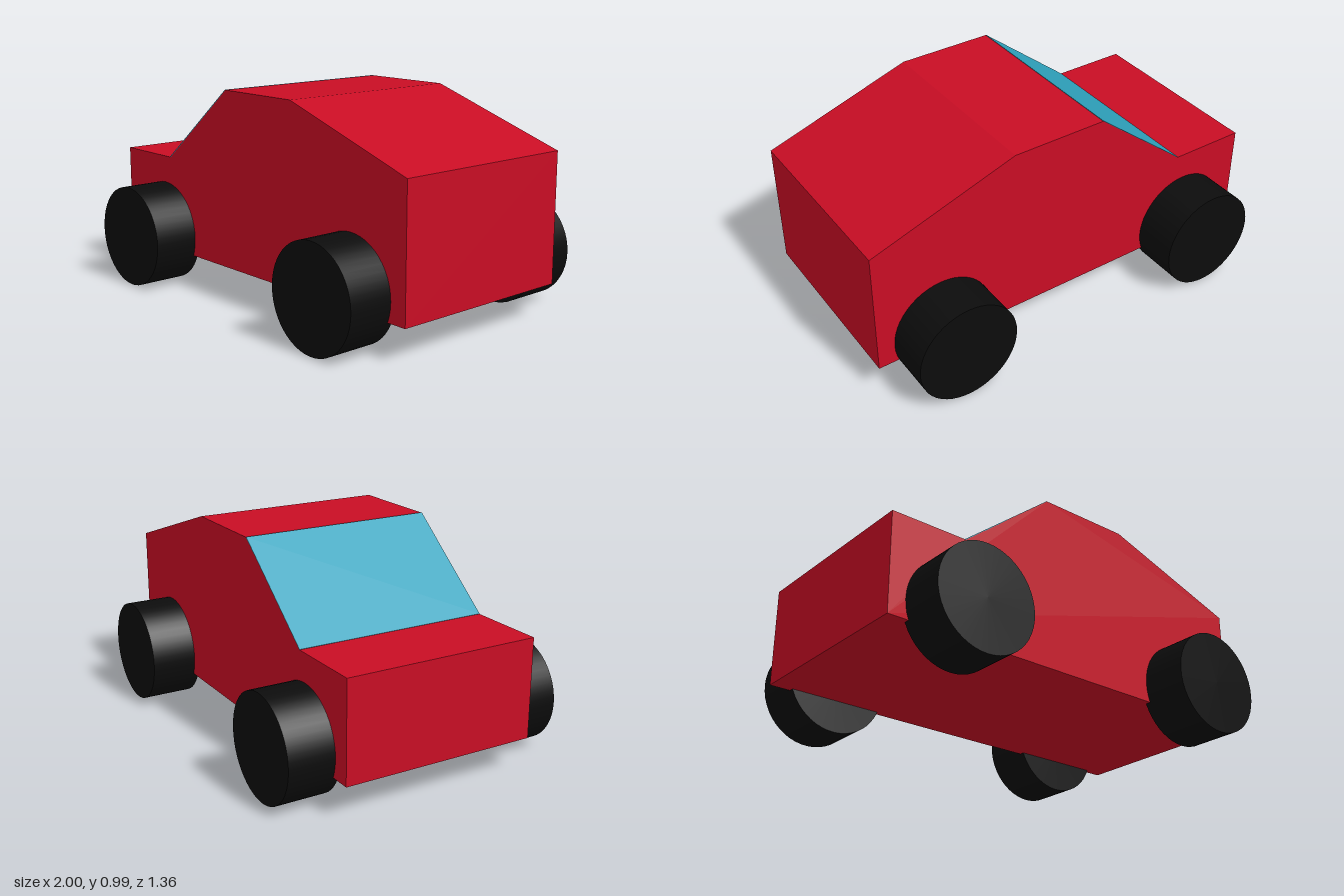
import * as THREE from 'three';

const material = (color) => new THREE.MeshStandardMaterial({ color });

export function createModel() {
  const car = new THREE.Group();
  car.name = 'car';
  const red = material(0xc80d24);
  const glass = material(0x2fa3bd);
  const black = material(0x0c0c0c);

  // Body: side profile extruded across the width
  const width = 0.93;
  const hood = new THREE.Vector2(-0.63, 0.617);
  const roof = new THREE.Vector2(-0.165, 0.99);
  const profile = new THREE.Shape([
    new THREE.Vector2(-1, 0.153), new THREE.Vector2(1, 0.153),
    new THREE.Vector2(1, 0.757), new THREE.Vector2(0.295, 0.99),
    roof, hood, new THREE.Vector2(-1, 0.617),
  ]);
  const bodyGeometry = new THREE.ExtrudeGeometry(profile, { depth: width, bevelEnabled: false });
  bodyGeometry.translate(0, 0, -width / 2);
  const body = new THREE.Mesh(bodyGeometry, red);
  body.name = 'body';
  car.add(body);

  // Windshield: thin panel lying on the slope between hood and roof
  const slope = roof.clone().sub(hood);
  const windshield = new THREE.Mesh(new THREE.BoxGeometry(slope.length(), 0.004, width), glass);
  windshield.name = 'windshield';
  windshield.position.set((hood.x + roof.x) / 2, (hood.y + roof.y) / 2, 0);
  windshield.rotation.z = slope.angle();
  car.add(windshield);

  // Wheels: four plain cylinders set slightly into the body
  const radius = 0.243;
  const wheelGeometry = new THREE.CylinderGeometry(radius, radius, 0.24, 48);
  wheelGeometry.rotateX(Math.PI / 2);
  for (const [end, x] of [['front', -0.675], ['rear', 0.675]]) {
    for (const [side, z] of [['Near', 0.56], ['Far', -0.56]]) {
      const wheel = new THREE.Mesh(wheelGeometry, black);
      wheel.name = `${end}${side}Wheel`;
      wheel.position.set(x, radius, z);
      car.add(wheel);
    }
  }
  return car;
}
